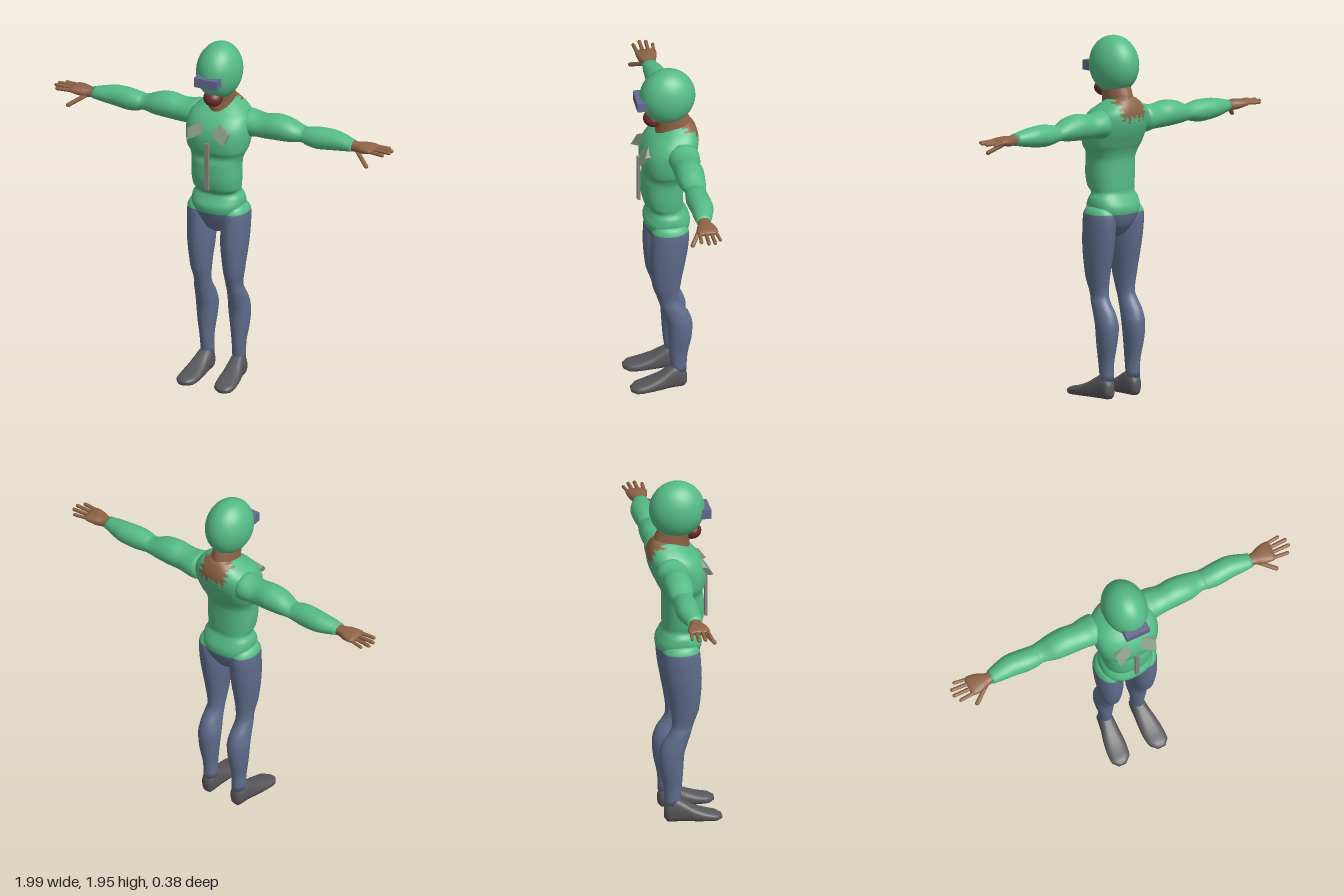
import * as THREE from 'three';

const mat = (name, color) => {
  const m = new THREE.MeshStandardMaterial({ color });
  m.name = name;
  return m;
};

// Smooth tube through rings [t, uMin, uMax, vMin, vMax] along an axis (0 x, 1 y, 2 z);
// u and v are the next two axes in cyclic order. pick() chooses a material per triangle.
function loft(keys, axis, { seg = 28, steps = 3, power = 2, mats, pick }) {
  const u = (axis + 1) % 3, v = (axis + 2) % 3;
  const smooth = (a, b, c, d, f) =>
    b + 0.5 * f * (c - a + f * (2 * a - 5 * b + 4 * c - d + f * (3 * (b - c) + d - a)));
  const rings = [];
  for (let i = 0; i < keys.length - 1; i++) {
    const k = [keys[Math.max(i - 1, 0)], keys[i], keys[i + 1], keys[Math.min(i + 2, keys.length - 1)]];
    for (let s = 0; s < steps; s++) {
      rings.push(keys[i].map((_, j) => j === 0
        ? k[1][0] + (k[2][0] - k[1][0]) * s / steps
        : smooth(k[0][j], k[1][j], k[2][j], k[3][j], s / steps)));
    }
  }
  rings.push(keys[keys.length - 1]);
  const bend = (c) => Math.sign(c) * Math.abs(c) ** (2 / power);
  const pts = [];
  const add = (t, a, b) => {
    const p = [0, 0, 0];
    p[axis] = t; p[u] = a; p[v] = b;
    return pts.push(p) - 1;
  };
  for (const [t, u0, u1, v0, v1] of rings) {
    for (let j = 0; j < seg; j++) {
      const a = (j / seg) * Math.PI * 2;
      add(t, (u0 + u1) / 2 + (u1 - u0) / 2 * bend(Math.cos(a)),
        (v0 + v1) / 2 + (v1 - v0) / 2 * bend(Math.sin(a)));
    }
  }
  const ends = [rings[0], rings[rings.length - 1]].map((r) => add(r[0], (r[1] + r[2]) / 2, (r[3] + r[4]) / 2));
  const faces = mats.map(() => []);
  const tri = (a, b, c) => {
    const mid = [0, 1, 2].map((i) => (pts[a][i] + pts[b][i] + pts[c][i]) / 3);
    faces[pick ? pick(...mid) : 0].push(a, b, c);
  };
  const last = (rings.length - 1) * seg;
  for (let j = 0; j < seg; j++) {
    const n = (j + 1) % seg;
    for (let r = 0; r < last; r += seg) {
      tri(r + j, r + n, r + seg + j);
      tri(r + n, r + seg + n, r + seg + j);
    }
    tri(ends[0], n, j);
    tri(ends[1], last + j, last + n);
  }
  const g = new THREE.BufferGeometry();
  g.setAttribute('position', new THREE.Float32BufferAttribute(pts.flat(), 3));
  g.setIndex(faces.flat());
  let start = 0;
  faces.forEach((f, i) => { g.addGroup(start, f.length, i); start += f.length; });
  g.computeVertexNormals();
  return g;
}

// Mirrored copy across x = 0 with corrected winding
function mirrored(geo) {
  const g = geo.clone();
  if (!g.index) g.setIndex([...Array(g.attributes.position.count).keys()]);
  g.scale(-1, 1, 1);
  const ix = g.index.array;
  for (let i = 0; i < ix.length; i += 3) [ix[i], ix[i + 1]] = [ix[i + 1], ix[i]];
  return g;
}

export function createModel() {
  const model = new THREE.Group();
  model.name = 'figure';
  const green = mat('green cloth', 0x55bb85), blue = mat('blue trousers', 0x5f6d8c);
  const skin = mat('brown skin', 0x8f6346), shoe = mat('dark grey shoe', 0x58585c);
  const red = mat('dark red', 0x6c2b2b), collar = mat('grey green collar', 0x82957f);
  const grey = mat('grey zip', 0x888780), visor = mat('slate visor', 0x636b8e);

  const add = (name, geo, material) => {
    const m = new THREE.Mesh(geo, material);
    m.name = name;
    model.add(m);
    return m;
  };
  const pair = (name, geo, material) => {
    add('left ' + name, geo, material);
    add('right ' + name, mirrored(geo), material);
  };
  const ball = (rx, ry, rz, x, y, z) =>
    new THREE.SphereGeometry(1, 40, 28).scale(rx, ry, rz).translate(x, y, z);
  const box = (w, h, d, x, y, z) => new THREE.BoxGeometry(w, h, d).translate(x, y, z);

  // Torso: blue pelvis, green jacket, ragged bare patch on the upper back
  const torso = [
    [0.87, -0.06, 0.02, 0.03], [0.89, -0.09, 0.05, 0.06], [0.94, -0.125, 0.075, 0.1],
    [1.0, -0.145, 0.095, 0.135], [1.04, -0.145, 0.1, 0.145], [1.08, -0.125, 0.08, 0.141],
    [1.11, -0.11, 0.07, 0.124], [1.14, -0.11, 0.1, 0.13], [1.2, -0.11, 0.113, 0.136],
    [1.29, -0.11, 0.11, 0.137], [1.33, -0.12, 0.1, 0.148], [1.37, -0.14, 0.115, 0.168],
    [1.44, -0.172, 0.12, 0.178], [1.5, -0.19, 0.105, 0.178], [1.55, -0.192, 0.07, 0.162],
    [1.59, -0.182, 0.02, 0.12], [1.62, -0.165, -0.02, 0.075], [1.635, -0.15, -0.05, 0.045],
  ].map(([y, z0, z1, w]) => [y, z0, z1, -w, w]);
  add('torso', loft(torso, 1, {
    seg: 72, steps: 4, power: 2.4, mats: [green, blue, skin],
    pick: (x, y, z) => {
      if (y < 1) return 1;
      const hem = 1.5 + 0.035 * Math.abs(Math.sin(x * 90));
      const side = 0.08 + 0.012 * Math.sin(y * 220);
      return z < -0.1 && y > hem && Math.abs(x) < side ? 2 : 0;
    },
  }), [green, blue, skin]);

  // Neck and head
  add('neck', loft([
    [1.5, -0.15, 0.01, -0.068, 0.068], [1.57, -0.155, 0.035, -0.07, 0.07],
    [1.63, -0.155, 0.04, -0.068, 0.068], [1.7, -0.13, 0.06, -0.068, 0.068],
  ], 1, { mats: [skin] }), skin);
  add('helmet', ball(0.12, 0.157, 0.15, 0, 1.797, -0.03), green);
  add('jaw', ball(0.053, 0.045, 0.052, 0, 1.663, 0.05), red);
  add('visor', box(0.136, 0.053, 0.06, 0, 1.78, 0.115), visor);

  // Jacket zip and sloping collar flaps
  add('zip', box(0.025, 0.27, 0.015, 0, 1.29, 0.127), grey);
  const flap = new THREE.ExtrudeGeometry(new THREE.Shape([[0.02, 1.54], [0.03, 1.475], [0.105, 1.44], [0.12, 1.49], [0.04, 1.54]]
    .map((p) => new THREE.Vector2(...p))), { depth: 0.03, bevelEnabled: false });
  const fp = flap.attributes.position;
  for (let i = 0; i < fp.count; i++) fp.setZ(i, fp.getZ(i) + 0.045 + (1.54 - fp.getY(i)) * 0.75);
  flap.computeVertexNormals();
  pair('collar flap', flap, collar);

  // Arms
  pair('arm', loft([
    [0.12, 1.45, 1.54, -0.14, -0.04], [0.145, 1.42, 1.572, -0.17, -0.005], [0.2, 1.428, 1.562, -0.17, -0.005],
    [0.25, 1.428, 1.562, -0.16, -0.01], [0.32, 1.43, 1.573, -0.165, -0.01], [0.4, 1.435, 1.558, -0.16, -0.015],
    [0.47, 1.445, 1.528, -0.15, -0.035], [0.5, 1.435, 1.535, -0.147, -0.03], [0.56, 1.426, 1.545, -0.152, -0.025],
    [0.65, 1.434, 1.543, -0.155, -0.033], [0.72, 1.445, 1.53, -0.137, -0.035], [0.77, 1.455, 1.518, -0.12, -0.04],
  ], 0, { mats: [green] }), green);

  // Hands: palm, four fingers and a thumb
  pair('palm', loft([
    [0.75, 1.46, 1.512, -0.11, -0.05], [0.79, 1.458, 1.51, -0.113, -0.045], [0.83, 1.46, 1.513, -0.13, -0.03],
    [0.88, 1.473, 1.508, -0.138, -0.022], [0.9, 1.482, 1.5, -0.13, -0.03],
  ], 0, { seg: 20, power: 2.4, mats: [skin] }), skin);
  const finger = (name, from, to, r) => {
    const a = new THREE.Vector3(...from), d = new THREE.Vector3(...to).sub(a);
    const g = new THREE.CapsuleGeometry(r, d.length() - r, 4, 10).translate(0, d.length() / 2 - r / 2, 0);
    g.applyQuaternion(new THREE.Quaternion().setFromUnitVectors(new THREE.Vector3(0, 1, 0), d.normalize()));
    pair(name, g.translate(a.x, a.y, a.z), skin);
  };
  finger('little finger', [0.87, 1.49, -0.122], [0.965, 1.485, -0.135], 0.009);
  finger('ring finger', [0.87, 1.491, -0.096], [0.995, 1.488, -0.102], 0.01);
  finger('middle finger', [0.87, 1.491, -0.067], [0.997, 1.49, -0.067], 0.01);
  finger('index finger', [0.87, 1.49, -0.038], [0.975, 1.488, -0.029], 0.01);
  finger('thumb', [0.81, 1.468, -0.05], [0.893, 1.415, 0.008], 0.012);

  // Legs, with the jacket hem over the hip
  pair('leg', loft([
    [0.1, -0.115, -0.035, 0.058, 0.13], [0.2, -0.12, -0.022, 0.058, 0.132], [0.3, -0.14, -0.015, 0.047, 0.147],
    [0.4, -0.146, -0.008, 0.036, 0.155], [0.47, -0.125, 0.012, 0.044, 0.15], [0.52, -0.09, 0.028, 0.05, 0.145],
    [0.56, -0.075, 0.04, 0.05, 0.138], [0.65, -0.082, 0.07, 0.042, 0.152], [0.8, -0.108, 0.085, 0.026, 0.17],
    [0.92, -0.125, 0.082, 0.025, 0.176], [1.0, -0.125, 0.075, 0.03, 0.174], [1.03, -0.1, 0.055, 0.06, 0.16],
    [1.045, -0.06, 0.02, 0.09, 0.135],
  ], 1, { mats: [blue, green], pick: (x, y) => (y > 1 ? 1 : 0) }), [blue, green]);

  // Shoes
  pair('shoe', loft([
    [-0.115, 0.075, 0.115, 0.02, 0.08], [-0.1, 0.06, 0.13, 0.002, 0.11], [-0.06, 0.054, 0.137, 0, 0.135],
    [-0.025, 0.053, 0.142, 0, 0.122], [0.03, 0.05, 0.155, 0, 0.088], [0.1, 0.049, 0.165, 0, 0.06],
    [0.16, 0.06, 0.164, 0, 0.045], [0.19, 0.09, 0.14, 0.008, 0.032],
  ], 2, { power: 2.6, mats: [shoe] }), shoe);

  return model;
}
